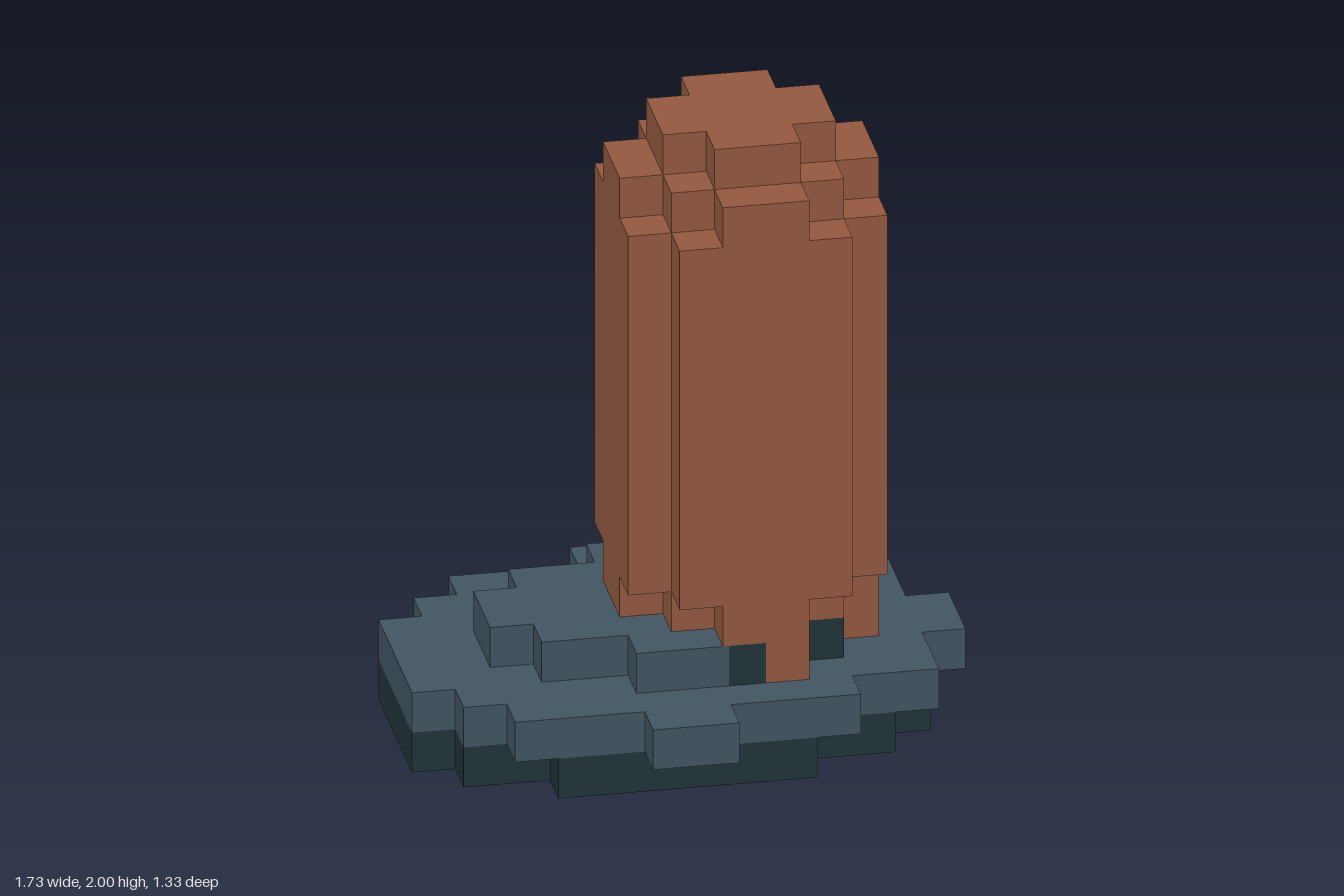
import * as THREE from 'three';

const U = 2 / 15; // one block

function material(name, color) {
  const m = new THREE.MeshStandardMaterial({ color });
  m.name = name;
  return m;
}

// Stepped slab, mirrored in z. steps: [start x, half depth] from left to right, in blocks.
function slab(name, mat, steps, endX, y0, y1) {
  const edge = [];
  steps.forEach(([x, half], i) => {
    const next = i + 1 < steps.length ? steps[i + 1][0] : endX;
    edge.push([x, half], [next, half]);
  });
  const outline = [
    ...edge.map(([x, h]) => new THREE.Vector2(x * U, -h * U)),
    ...edge.reverse().map(([x, h]) => new THREE.Vector2(x * U, h * U)),
  ];
  const geo = new THREE.ExtrudeGeometry(new THREE.Shape(outline), {
    depth: (y1 - y0) * U,
    bevelEnabled: false,
  });
  geo.rotateX(-Math.PI / 2).translate(0, y0 * U, 0);
  const mesh = new THREE.Mesh(geo, mat);
  mesh.name = name;
  return mesh;
}

export function createModel() {
  const brick = material('brick brown', 0x965a41);
  const slate = material('slate blue', 0x435663);
  const dark = material('dark slate', 0x223439);

  const model = new THREE.Group();
  model.name = 'towerOnBase';

  // Base: dark underside, wide plate and raised step
  const base = new THREE.Group();
  base.name = 'base';
  base.add(
    slab('underside', dark, [[-6.5, 2], [-5.5, 3], [-3.5, 4], [2.5, 3], [4.5, 2]], 5.5, 0, 1),
    slab('plate', slate,
      [[-6.5, 2], [-5.5, 3], [-4.5, 4], [-1.5, 5], [0.5, 4], [3.5, 3], [5.5, 1]], 6.5, 1, 2),
    slab('raisedStep', slate, [[-4.5, 1], [-3.5, 2], [-1.5, 3]], 0.64, 2, 3),
    slab('darkBand', dark, [[0.64, 3]], 1.5, 2, 3),
  );

  // Dark blocks in the corners between the feet
  for (const side of [1, -1]) {
    const corner = new THREE.Mesh(new THREE.BoxGeometry(U, U, U), dark);
    corner.position.set(3 * U, 2.5 * U, side * 1.5 * U);
    corner.name = 'darkCorner';
    base.add(corner);
  }

  // Tower: feet, shaft with notched corners, and stepped ends
  const tower = new THREE.Group();
  tower.name = 'tower';
  const rounded = [[-1.5, 1], [-0.5, 2], [0.5, 3], [2.5, 2], [3.5, 1]];
  tower.add(
    slab('feet', brick, [[1.5, 3], [2.5, 1]], 4.5, 2, 3),
    slab('lowerStep', brick, rounded, 4.5, 3, 4),
    slab('shaft', brick, [[-1.5, 2], [-0.5, 3], [3.5, 2]], 4.5, 4, 13),
    slab('upperStep', brick, rounded, 4.5, 13, 14),
    slab('cap', brick, [[-0.5, 1], [0.5, 2], [2.5, 1]], 3.5, 14, 15),
  );

  model.add(base, tower);
  return model;
}
